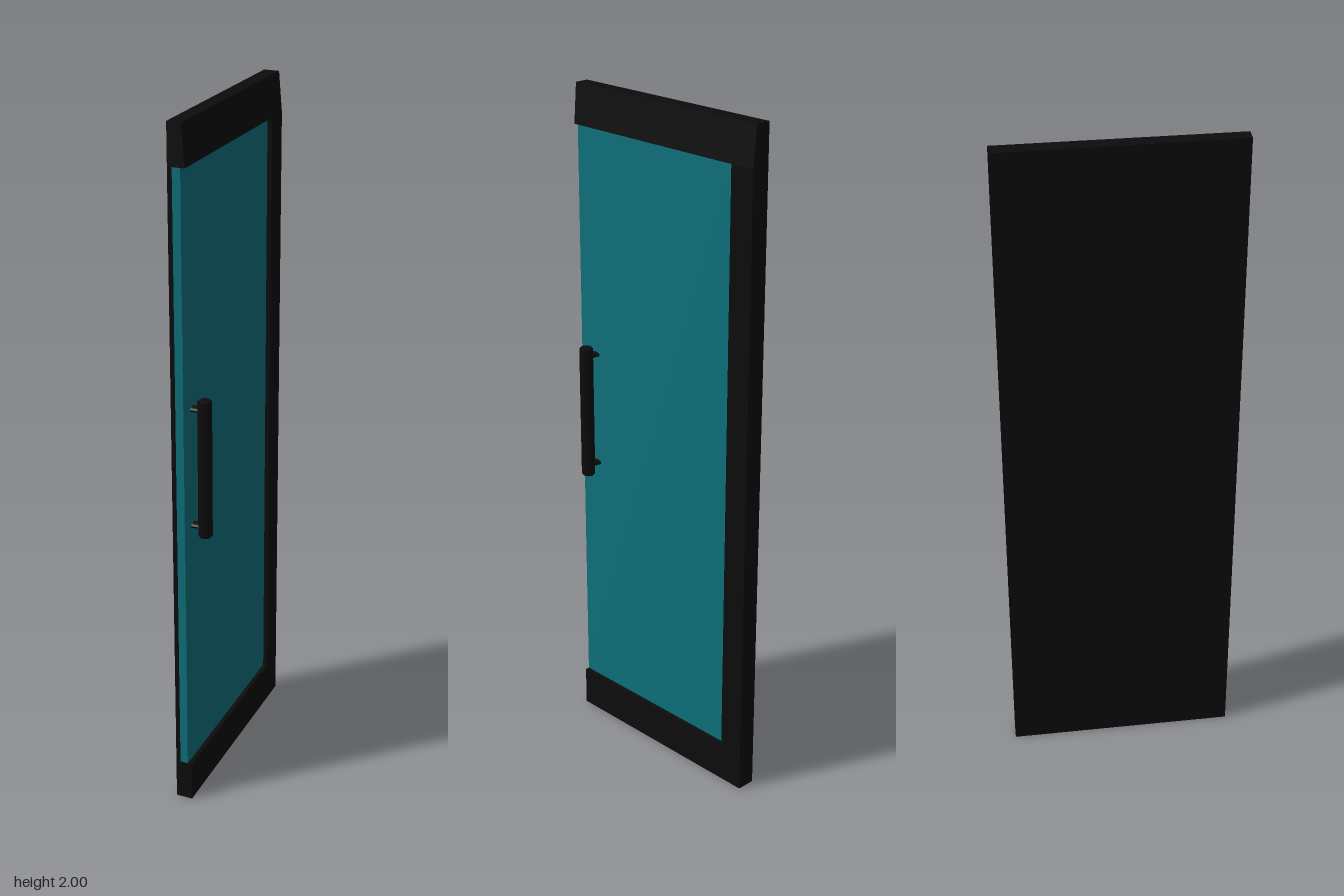
import * as THREE from 'three';

const black = new THREE.MeshStandardMaterial({ color: 0x0c0c0c });
const teal = new THREE.MeshStandardMaterial({ color: 0x0e717b });

// Door is turned slightly and tapers: u = 0 is the back face, u = 1 the handle face
const backX = z => -0.0465 + 0.0343 * z;
const faceX = z => 0.0055 + 0.0254 * z;

// Extrude a (u, y) section from z0 to z1, then map u across the door thickness
function slab(name, section, z0, z1, material) {
  const shape = new THREE.Shape(section.map(([u, y]) => new THREE.Vector2(u, y)));
  const geo = new THREE.ExtrudeGeometry(shape, { depth: z1 - z0, bevelEnabled: false });
  const p = geo.attributes.position;
  for (let i = 0; i < p.count; i++) {
    const z = p.getZ(i) + z0;
    p.setX(i, THREE.MathUtils.lerp(backX(z), faceX(z), p.getX(i)));
    p.setZ(i, z);
  }
  geo.computeVertexNormals();
  const mesh = new THREE.Mesh(geo, material);
  mesh.name = name;
  return mesh;
}

const rect = (u0, u1, y0, y1) => [[u0, y0], [u1, y0], [u1, y1], [u0, y1]];

export function createModel() {
  const group = new THREE.Group();
  group.name = 'door';
  const back = -0.336, front = 0.334, stile = -0.26;
  const low = 0.12, high = 1.885;

  // Frame: rails above and below, one stile, and a solid back panel
  group.add(
    slab('bottomRail', rect(0, 1, 0, low), back, front, black),
    slab('topRail', [[0, high], [1, high], [0.82, 2], [0, 2]], back, front, black),
    slab('hingeStile', rect(0, 1, low, high), back, stile, black),
    slab('backPanel', rect(0, 0.27, low, high), stile, front, black),
    slab('glassPane', rect(0.27, 0.75, low, high), stile, front, teal)
  );

  // Pull handle: vertical bar with softened ends on two short posts
  const handle = new THREE.Group();
  handle.name = 'handle';
  const r = 0.02, half = 0.203;
  const profile = [[0, -half], [r - 0.004, -half], [r, -half + 0.005], [r, half - 0.005], [r - 0.004, half], [0, half]];
  const bar = new THREE.Mesh(
    new THREE.LatheGeometry(profile.map(([x, y]) => new THREE.Vector2(x, y)), 24), black);
  bar.name = 'handleBar';
  bar.position.set(0.037, 1.041, 0.276);
  handle.add(bar);
  for (const y of [0.868, 1.214]) {
    const post = new THREE.Mesh(new THREE.CylinderGeometry(0.012, 0.016, 0.04, 16), black);
    post.name = 'handlePost';
    post.rotation.z = -Math.PI / 2;
    post.scale.x = 0.5;
    post.position.set(0.017, y, 0.276);
    handle.add(post);
  }
  group.add(handle);
  return group;
}
